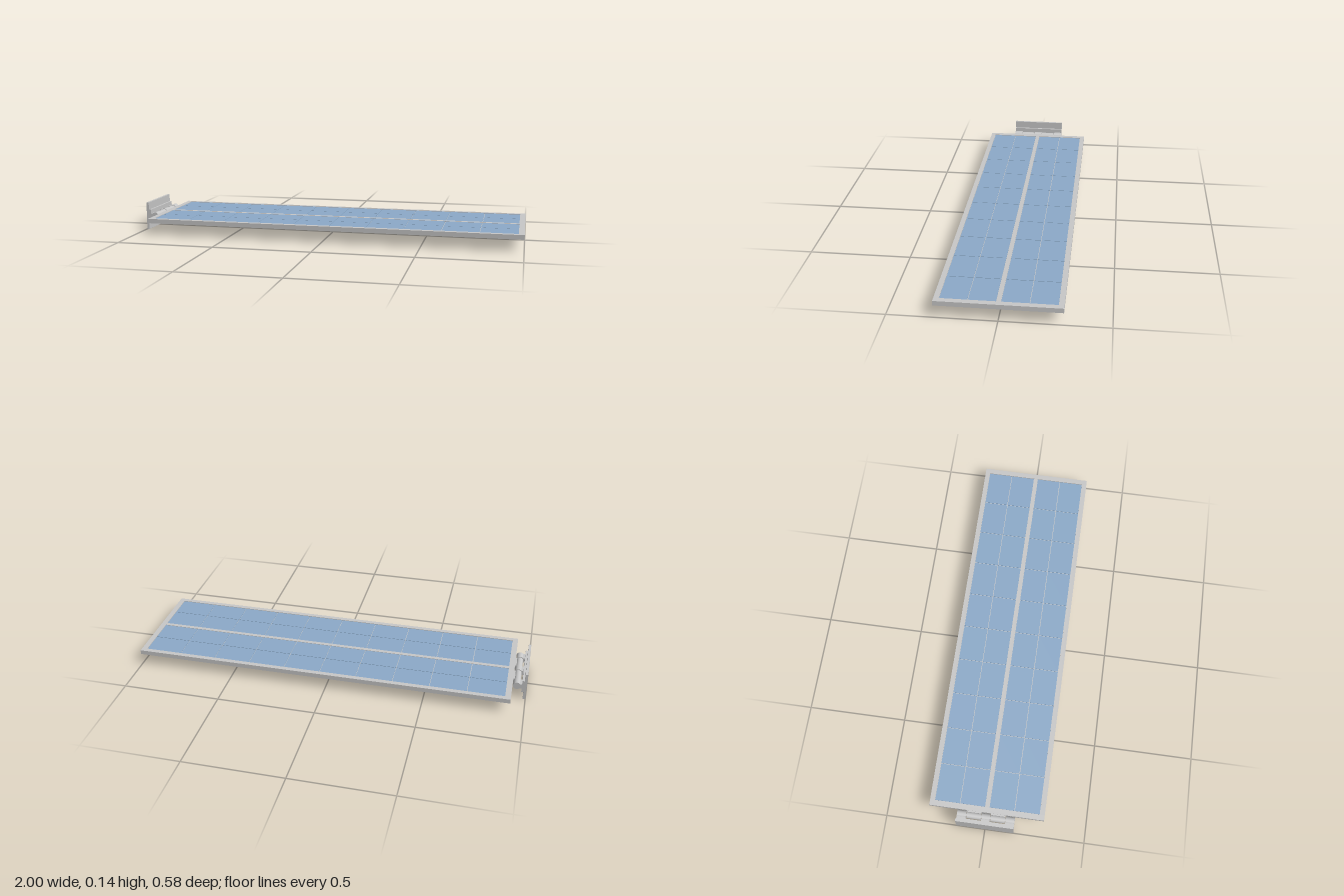
import * as THREE from 'three';

export function createModel() {
  const root = new THREE.Group();
  const metal = new THREE.MeshStandardMaterial({ color: 0xc8c8c8 });
  metal.name = 'light grey metal';
  const blue = new THREE.MeshStandardMaterial({ color: 0x8caac9 });
  blue.name = 'solar cell blue';

  // Box given by its limits on each axis
  function box(name, parent, mat, x0, x1, y0, y1, z0, z1) {
    const m = new THREE.Mesh(new THREE.BoxGeometry(x1 - x0, y1 - y0, z1 - z0), mat);
    m.position.set((x0 + x1) / 2, (y0 + y1) / 2, (z0 + z1) / 2);
    m.name = name;
    parent.add(m);
    return m;
  }

  // Panel: backing slab with a raised rim and a centre rib
  const panel = new THREE.Group();
  panel.name = 'panel';
  root.add(panel);
  const X0 = -0.93, X1 = 1, Z = 0.288, Y0 = 0.062, Y1 = 0.085;
  const cx0 = -0.903, cx1 = 0.973, cz0 = 0.01, cz1 = 0.264;
  box('backing', panel, metal, X0, X1, Y0, 0.08, -Z, Z);
  box('innerRim', panel, metal, X0, cx0, 0.08, Y1, -Z, Z);
  box('outerRim', panel, metal, cx1, X1, 0.08, Y1, -Z, Z);
  for (const s of [-1, 1]) {
    const a = s * cz1, b = s * Z;
    box('sideRim', panel, metal, cx0, cx1, 0.08, Y1, Math.min(a, b), Math.max(a, b));
  }
  box('centreRib', panel, metal, cx0, cx1, 0.08, 0.084, -cz0, cz0);

  // Solar cells: two banks of thin plates
  const cells = new THREE.Group();
  cells.name = 'solarCells';
  panel.add(cells);
  const cols = 10, rows = 2, gap = 0.0015;
  const dx = (cx1 - cx0) / cols, dz = (cz1 - cz0) / rows;
  for (const s of [-1, 1])
    for (let r = 0; r < rows; r++)
      for (let c = 0; c < cols; c++) {
        const x = cx0 + c * dx, z = s * (cz0 + (r + 0.5) * dz);
        box('solarCell', cells, blue, x + gap, x + dx - gap, 0.08, 0.083,
          z - dz / 2 + gap, z + dz / 2 - gap);
      }

  // Mounting bracket: wide plate with a stepped pad
  const hinge = new THREE.Group();
  hinge.name = 'hinge';
  root.add(hinge);
  const W = 0.144, HY = 0.073, HX = -0.951;
  box('mountPlate', hinge, metal, -1, -0.987, 0, 0.145, -W, W);
  box('mountPad', hinge, metal, -0.987, -0.976, 0.04, 0.106, -W, W);

  // Hinge barrel along z
  function barrel(name, r, z0, z1) {
    const g = new THREE.CylinderGeometry(r, r, z1 - z0, 16);
    g.rotateX(Math.PI / 2);
    const m = new THREE.Mesh(g, metal);
    m.position.set(HX, HY, (z0 + z1) / 2);
    m.name = name;
    hinge.add(m);
  }
  // Knuckles fixed to the bracket
  for (const [a, b] of [[-W, -0.099], [-0.021, 0.021], [0.099, W]]) {
    barrel('bracketKnuckle', 0.019, a, b);
    box('bracketArm', hinge, metal, -0.977, HX, HY - 0.012, HY + 0.012, a, b);
  }
  // Knuckles fixed to the panel
  for (const [a, b] of [[-0.096, -0.024], [0.024, 0.096]]) {
    barrel('panelKnuckle', 0.017, a, b);
    box('panelArm', hinge, metal, HX, -0.929, HY - 0.01, HY + 0.01, a, b);
  }
  barrel('hingePin', 0.007, -W, W);
  return root;
}
